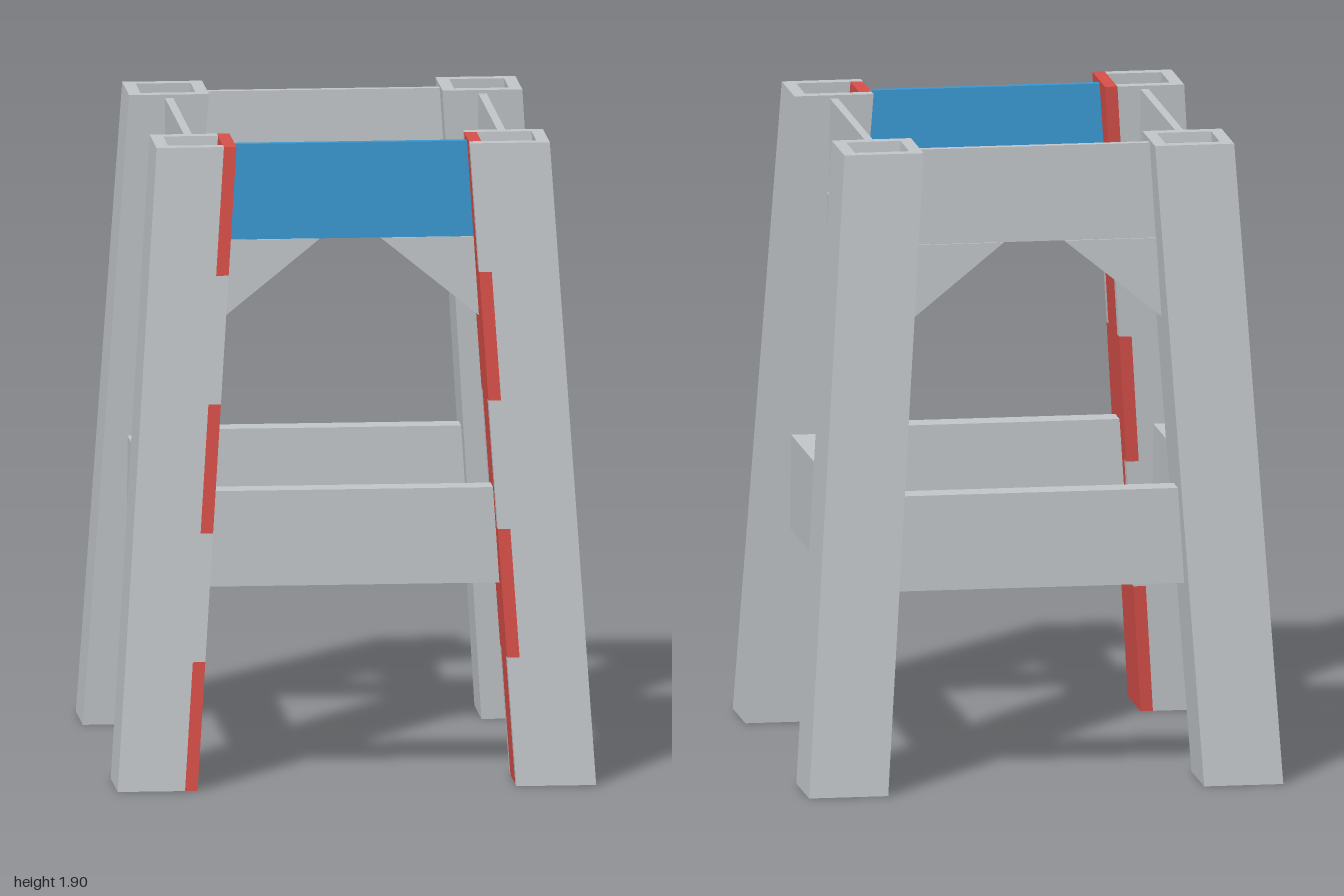
import * as THREE from 'three';

const HEIGHT = 1.9, BANDS = 5;
const SIDE = 0.236, WALL = 0.037;          // leg section and plank thickness
const FOOT = 0.589, TOP = 0.463;           // leg centre offsets at the floor and at the top

// Lean a leg part inward towards the middle of the trestle
function lean(geometry, sx, sz) {
  const p = geometry.attributes.position;
  for (let i = 0; i < p.count; i++) {
    const c = FOOT + (TOP - FOOT) * p.getY(i) / HEIGHT;
    p.setX(i, p.getX(i) + sx * c);
    p.setZ(i, p.getZ(i) + sz * c);
  }
  geometry.computeVertexNormals();
  return geometry;
}

// Plank with finger joints along both long edges; fullParity picks the wide bands
function plankGeometry(fullParity) {
  const right = [];
  for (let b = 0; b < BANDS; b++) {
    const w = SIDE / 2 - (b % 2 === fullParity ? 0 : WALL);
    right.push(new THREE.Vector2(w, b * HEIGHT / BANDS), new THREE.Vector2(w, (b + 1) * HEIGHT / BANDS));
  }
  const left = right.map(v => new THREE.Vector2(-v.x, v.y)).reverse();
  const g = new THREE.ExtrudeGeometry(new THREE.Shape([...right, ...left]), { depth: WALL, bevelEnabled: false });
  return g.translate(0, 0, SIDE / 2 - WALL);
}

function extrudeCentred(points, depth) {
  const shape = new THREE.Shape(points.map(([x, y]) => new THREE.Vector2(x, y)));
  return new THREE.ExtrudeGeometry(shape, { depth, bevelEnabled: false }).translate(0, 0, -depth / 2);
}

export function createModel() {
  const grey = new THREE.MeshStandardMaterial({ color: 0xc2c7ca });
  grey.name = 'grey';
  const red = new THREE.MeshStandardMaterial({ color: 0xd8504a });
  red.name = 'red';
  const blue = new THREE.MeshStandardMaterial({ color: 0x3a99d3 });
  blue.name = 'blue';

  const model = new THREE.Group();
  model.name = 'trestle';
  const frame = new THREE.Group();
  frame.name = 'frame';
  frame.rotation.y = Math.PI / 4;
  model.add(frame);

  const add = (parent, name, geometry, material) => {
    const mesh = new THREE.Mesh(geometry, material);
    mesh.name = name;
    parent.add(mesh);
    return mesh;
  };

  // Hollow legs, each of four interlocking planks around a shorter core
  for (const sx of [1, -1]) for (const sz of [1, -1]) {
    const leg = new THREE.Group();
    leg.name = 'leg';
    frame.add(leg);
    for (let k = 0; k < 4; k++) {
      const parity = (k + (sx > 0 ? 0 : 1)) % 2;
      const g = plankGeometry(parity).rotateY(k * Math.PI / 2);
      const isRed = sz > 0 && k === (sx > 0 ? 3 : 1);
      add(leg, isRed ? 'redLegPlank' : 'legPlank', lean(g, sx, sz), isRed ? red : grey);
    }
    const inner = SIDE - 2 * WALL, coreTop = 1.22;
    const core = new THREE.BoxGeometry(inner, coreTop, inner).translate(0, coreTop / 2, 0).toNonIndexed();
    add(leg, 'legCore', lean(core, sx, sz), grey);
  }

  // Rails, top boards and corner braces on all four sides
  for (let k = 0; k < 4; k++) {
    const side = new THREE.Group();
    side.name = 'side';
    side.rotation.y = k * Math.PI / 2;
    frame.add(side);

    add(side, 'lowerRail', new THREE.BoxGeometry(0.88, 0.285, 0.08), grey).position.set(0, 0.73, 0.54);
    const board = extrudeCentred([[-0.382, 1.605], [0.382, 1.605], [0.364, 1.89], [-0.364, 1.89]], 0.024);
    add(side, 'topBoard', board, k === 0 ? blue : grey).position.z = TOP;
    for (const s of [1, -1]) {
      const pts = [[0.09, 1.605], [0.386, 1.365], [0.386, 1.605]].map(([x, y]) => [s * x, y]);
      add(side, 'cornerBrace', extrudeCentred(pts, 0.036), grey).position.z = TOP;
    }
  }
  return model;
}
